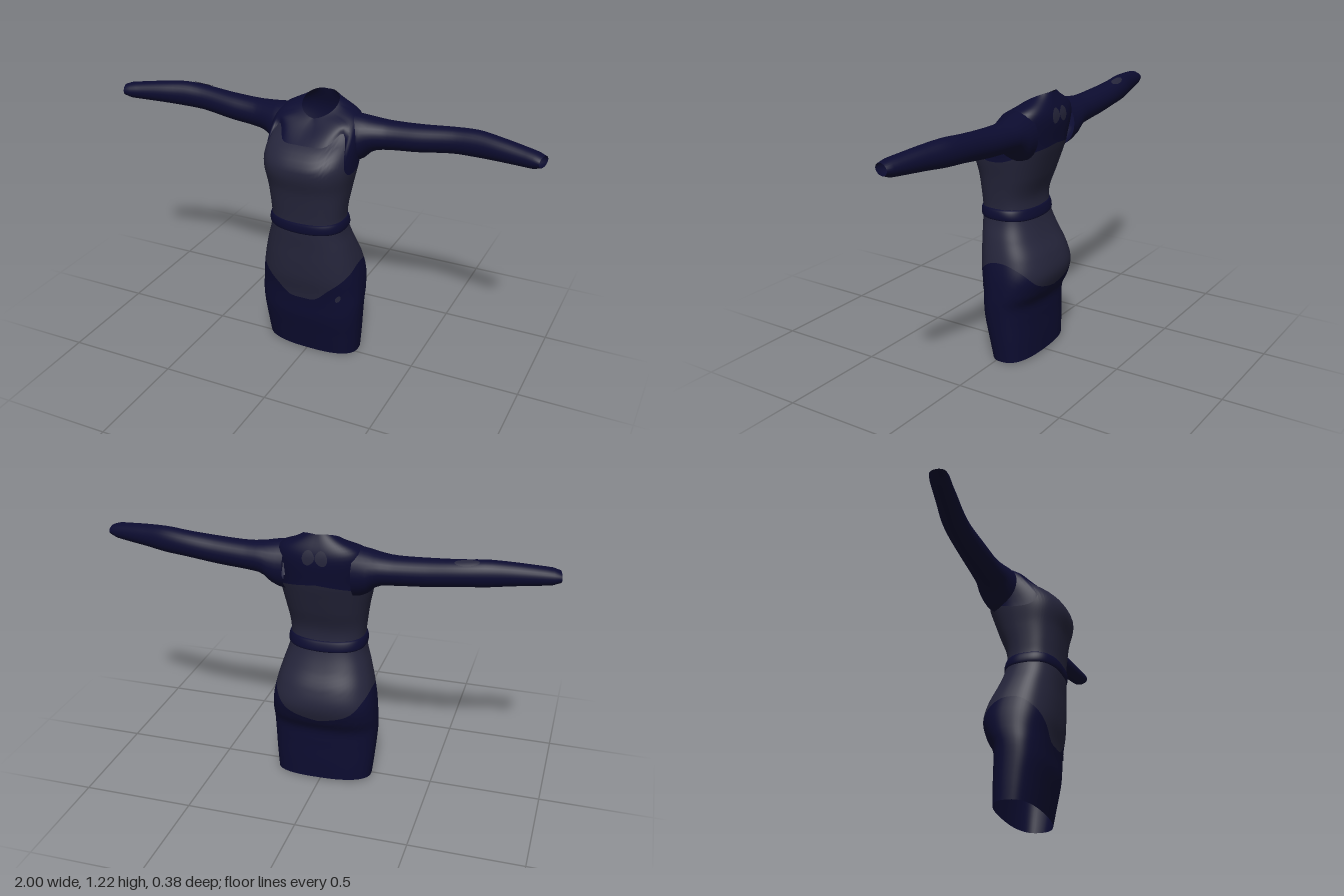
import * as THREE from 'three';

const navy = new THREE.MeshStandardMaterial({ color: 0x0c0c30, side: THREE.DoubleSide });
navy.name = 'navy cloth';
const slate = new THREE.MeshStandardMaterial({ color: 0x25253b, side: THREE.DoubleSide });
slate.name = 'slate cloth';

const V = (x, y, z) => new THREE.Vector3(x, y, z);
const spow = (t, p) => Math.sign(t) * Math.abs(t) ** p;

// Smooth interpolation through table rows [key, a, b, ...]
function sample(table, key) {
  const k = THREE.MathUtils.clamp(key, table[0][0], table[table.length - 1][0]);
  let i = 0;
  while (i < table.length - 2 && table[i + 1][0] < k) i++;
  const a = table[i], b = table[i + 1];
  const p = table[Math.max(i - 1, 0)], q = table[Math.min(i + 2, table.length - 1)];
  const w = b[0] - a[0], t = (k - a[0]) / w, t2 = t * t, t3 = t2 * t;
  return a.slice(1).map((_, j) => {
    const c = j + 1;
    const ma = (b[c] - p[c]) / (b[0] - p[0]) * w, mb = (q[c] - a[c]) / (q[0] - a[0]) * w;
    return (2 * t3 - 3 * t2 + 1) * a[c] + (t3 - 2 * t2 + t) * ma + (3 * t2 - 2 * t3) * b[c] + (t3 - t2) * mb;
  });
}

// Surface normal of f(u, v), v kept within 0..1
function normalAt(f, u, v) {
  const e = 0.004;
  const du = f(u + e, v).sub(f(u - e, v));
  const dv = f(u, Math.min(v + e, 1)).sub(f(u, Math.max(v - e, 0)));
  return du.cross(dv).normalize();
}
const lift = (f, d) => (u, v) => f(u, v).addScaledVector(normalAt(f, u, v), d);

// Tube-like mesh from f(u, v), closed in u; skip(centre) leaves quads out
function surface(name, f, material, nu, nv, skip) {
  const pos = [], nor = [], idx = [];
  for (let j = 0; j <= nv; j++) for (let i = 0; i < nu; i++) {
    pos.push(...f(i / nu, j / nv).toArray());
    nor.push(...normalAt(f, i / nu, j / nv).toArray());
  }
  for (let j = 0; j < nv; j++) for (let i = 0; i < nu; i++) {
    if (skip && skip(f((i + 0.5) / nu, (j + 0.5) / nv))) continue;
    const a = j * nu + i, b = j * nu + (i + 1) % nu;
    idx.push(a, b, b + nu, a, b + nu, a + nu);
  }
  const g = new THREE.BufferGeometry();
  g.setAttribute('position', new THREE.Float32BufferAttribute(pos, 3));
  g.setAttribute('normal', new THREE.Float32BufferAttribute(nor, 3));
  g.setIndex(idx);
  const mesh = new THREE.Mesh(g, material);
  mesh.name = name;
  return mesh;
}

// Thin oval patch lying just above a surface
function patch(name, f, u0, v0, ru, rv, material) {
  const top = lift(f, 0.003);
  const mesh = surface(name, (s, t) => {
    const a = s * Math.PI * 2, r = 1 - t;
    return top(u0 + ru * r * Math.cos(a), v0 + rv * r * Math.sin(a));
  }, material, 20, 4);
  mesh.geometry.computeVertexNormals();
  return mesh;
}

// Body sections: height, front z, back z, half width
const BODY = [
  [0.00, 0.07, -0.132, 0.222], [0.10, 0.09, -0.132, 0.232], [0.20, 0.11, -0.13, 0.24],
  [0.27, 0.115, -0.133, 0.244], [0.33, 0.122, -0.165, 0.243], [0.41, 0.138, -0.188, 0.236],
  [0.49, 0.145, -0.17, 0.22], [0.57, 0.148, -0.13, 0.198], [0.64, 0.152, -0.103, 0.176],
  [0.70, 0.153, -0.09, 0.168], [0.76, 0.158, -0.092, 0.172], [0.85, 0.17, -0.125, 0.185],
  [0.93, 0.19, -0.153, 0.2], [0.98, 0.183, -0.17, 0.205], [1.03, 0.14, -0.183, 0.205],
  [1.07, 0.08, -0.188, 0.203], [1.12, 0.025, -0.186, 0.195],
];
// Colour borders: angle from the front in degrees, height
const SKIRT_TOP = [[0, 0.305], [10, 0.31], [27, 0.37], [54, 0.43], [90, 0.48], [120, 0.45], [150, 0.38], [180, 0.34]];
const YOKE_LOW = [[0, 1.05], [24, 1.055], [43, 1.1], [54, 1.06], [68, 0.96], [90, 0.93], [130, 0.97], [180, 1.0]];
const border = table => u => {
  const d = (((u % 1) + 1) % 1) * 360;
  return sample(table, d > 180 ? 360 - d : d)[0];
};
const skirtTop = border(SKIRT_TOP), yokeLow = border(YOKE_LOW);

function ring(u, y, front, back, half, p) {
  const a = u * Math.PI * 2;
  return V(half * spow(Math.sin(a), p), y, (front + back) / 2 + (front - back) / 2 * spow(Math.cos(a), p));
}
const body = (u, y) => ring(u, y, ...sample(BODY, y), 0.78);
const panel = (lo, hi) => (u, v) => body(u, THREE.MathUtils.lerp(lo(u), hi(u), v));

// Yoke runs from the bodice border over the shoulders to the collar
function yoke(u, v) {
  const a = u * Math.PI * 2, c = Math.cos(a), s = Math.abs(Math.sin(a));
  const low = body(u, yokeLow(u));
  const mid = ring(u, 1.112 - 0.01 * c + 0.025 * s, 0.04, -0.187, 0.19, 0.8);
  const collar = ring(u, 1.178 - 0.042 * c + 0.012 * s, 0.0, -0.157, 0.082, 1);
  return new THREE.CatmullRomCurve3([low, mid, collar]).getPoint(THREE.MathUtils.clamp(v, 0, 1));
}

// Sleeve sections: x, top y, bottom y, back z, front z
const SLEEVE = [
  [0.15, 1.16, 0.94, -0.175, 0.01], [0.2, 1.154, 0.955, -0.178, 0.005], [0.25, 1.146, 1.0, -0.174, -0.015],
  [0.32, 1.141, 1.014, -0.169, -0.035], [0.45, 1.146, 1.025, -0.165, -0.045], [0.6, 1.158, 1.044, -0.162, -0.058],
  [0.7, 1.165, 1.05, -0.15, -0.052], [0.8, 1.158, 1.058, -0.125, -0.035], [0.9, 1.147, 1.064, -0.1, -0.018],
  [0.97, 1.137, 1.07, -0.082, -0.004], [0.99, 1.128, 1.08, -0.074, -0.004],
];
const sleeve = side => (u, v) => {
  const x = 0.15 + 0.84 * v, a = side * u * Math.PI * 2;
  const [top, bottom, back, front] = sample(SLEEVE, x);
  const dz = (front - back) / 2 * Math.sin(a);
  return V(side * (x - 0.27 * dz * v), (top + bottom) / 2 + (top - bottom) / 2 * Math.cos(a), (front + back) / 2 + dz);
};

export function createModel() {
  const dress = new THREE.Group();
  dress.name = 'dress';

  // Skirt, bodice and yoke
  const hem = u => 0.01 - 0.007 * Math.sin(u * Math.PI * 2) - 0.004 * Math.cos(u * Math.PI * 2);
  const skirt = panel(hem, skirtTop);
  dress.add(surface('lowerSkirt', skirt, navy, 72, 16));
  dress.add(surface('bodice', panel(skirtTop, yokeLow), slate, 72, 32));
  const inArmhole = p => Math.abs(p.x) > 0.15 && Math.hypot((p.y - 1.06) / 0.075, (p.z + 0.085) / 0.07) < 1;
  dress.add(surface('yoke', yoke, navy, 72, 16, inArmhole));

  // Belt with folded-in edges
  const beltY = v => 0.652 + 0.05 * v;
  const belt = (u, v) => {
    const p = body(u, beltY(v)), bulge = 1 + 0.05 * Math.sin(Math.PI * v) ** 0.5;
    return V(p.x * bulge, p.y + 0.006 * Math.abs(Math.sin(u * Math.PI * 2)), 0.03 + (p.z - 0.03) * bulge);
  };
  dress.add(surface('belt', belt, navy, 72, 8));

  // Sleeves
  for (const side of [1, -1]) {
    dress.add(surface(side > 0 ? 'leftSleeve' : 'rightSleeve', sleeve(side), navy, 28, 28));
    dress.add(patch('backPatch', yoke, 0.5 + side * 0.017, 0.52, 0.017, 0.15, slate));
  }

  // Small worn patches
  dress.add(patch('sleevePatch', sleeve(-1), 0.07, 0.56, 0.05, 0.06, slate));
  dress.add(patch('hipPatch', skirt, 0.108, 0.82, 0.012, 0.04, slate));
  return dress;
}
